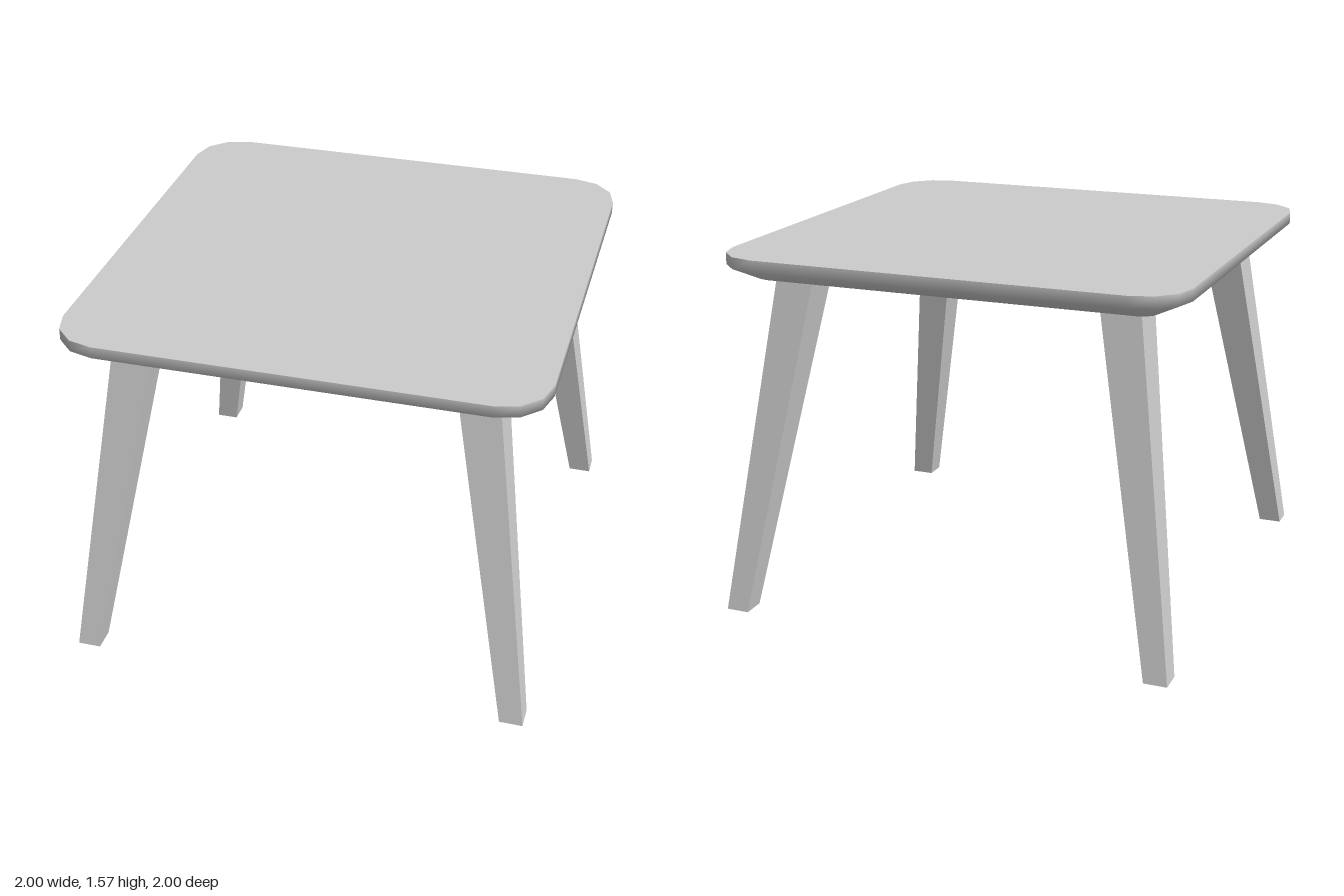
import * as THREE from 'three';

const TOP_Y = 1.57, EDGE_Y = 1.52, UNDER_Y = 1.46;

// Outline of a rounded square, counter-clockwise seen from above
function outline(y, inset) {
  const centre = 0.8, radius = 0.2 - inset, steps = 3, points = [];
  for (let corner = 0; corner < 4; corner++) {
    const mid = (corner + 0.5) * Math.PI / 2;
    const cx = Math.sign(Math.cos(mid)) * centre, cz = -Math.sign(Math.sin(mid)) * centre;
    for (let s = 0; s <= steps; s++) {
      const a = (corner + s / steps) * Math.PI / 2;
      points.push([cx + radius * Math.cos(a), y, cz - radius * Math.sin(a)]);
    }
  }
  return points;
}

// Joins a list of rings from bottom to top, with optional end caps
function skin(rings, capBottom, capTop) {
  const n = rings[0].length, positions = rings.flat(2), index = [];
  for (let r = 0; r < rings.length - 1; r++) {
    for (let i = 0; i < n; i++) {
      const j = (i + 1) % n, a = r * n, b = a + n;
      index.push(a + i, a + j, b + j, a + i, b + j, b + i);
    }
  }
  const cap = (start, y, up) => {
    const c = positions.length / 3;
    positions.push(0, y, 0);
    for (let i = 0; i < n; i++) {
      const p = start + i, q = start + (i + 1) % n;
      index.push(c, up ? p : q, up ? q : p);
    }
  };
  if (capBottom) cap(0, rings[0][0][1], false);
  if (capTop) cap((rings.length - 1) * n, rings.at(-1)[0][1], true);
  const geometry = new THREE.BufferGeometry();
  geometry.setAttribute('position', new THREE.Float32BufferAttribute(positions, 3));
  geometry.setIndex(index);
  geometry.computeVertexNormals();
  return geometry;
}

// Square tapered leg, splayed outwards towards its corner
function legGeometry(sx, sz) {
  const box = new THREE.BoxGeometry(1, 1, 1);
  const p = box.attributes.position;
  for (let i = 0; i < p.count; i++) {
    const upper = p.getY(i) > 0;
    const centre = upper ? 0.712 : 0.95, width = upper ? 0.17 : 0.1;
    p.setXYZ(i, sx * centre + p.getX(i) * width, upper ? UNDER_Y : 0, sz * centre + p.getZ(i) * width);
  }
  box.computeVertexNormals();
  return box;
}

export function createModel() {
  const model = new THREE.Group();
  model.name = 'table';
  const material = new THREE.MeshStandardMaterial({ color: 0xcccccc });
  const add = (parent, name, geometry) => {
    const mesh = new THREE.Mesh(geometry, material);
    mesh.name = name;
    parent.add(mesh);
  };

  // Tabletop: flat upper face, smooth rim bevelled inwards to the underside
  const tabletop = new THREE.Group();
  tabletop.name = 'tabletop';
  add(tabletop, 'tabletopRim', skin([outline(UNDER_Y, 0.13), outline(EDGE_Y, 0), outline(TOP_Y, 0)], true, false));
  add(tabletop, 'tabletopSurface', skin([outline(TOP_Y, 0)], false, true));
  model.add(tabletop);

  // Four legs
  for (const [side, sx] of [['Left', 1], ['Right', -1]]) {
    for (const [end, sz] of [['front', 1], ['back', -1]]) {
      add(model, `${end}${side}Leg`, legGeometry(sx, sz));
    }
  }
  return model;
}
